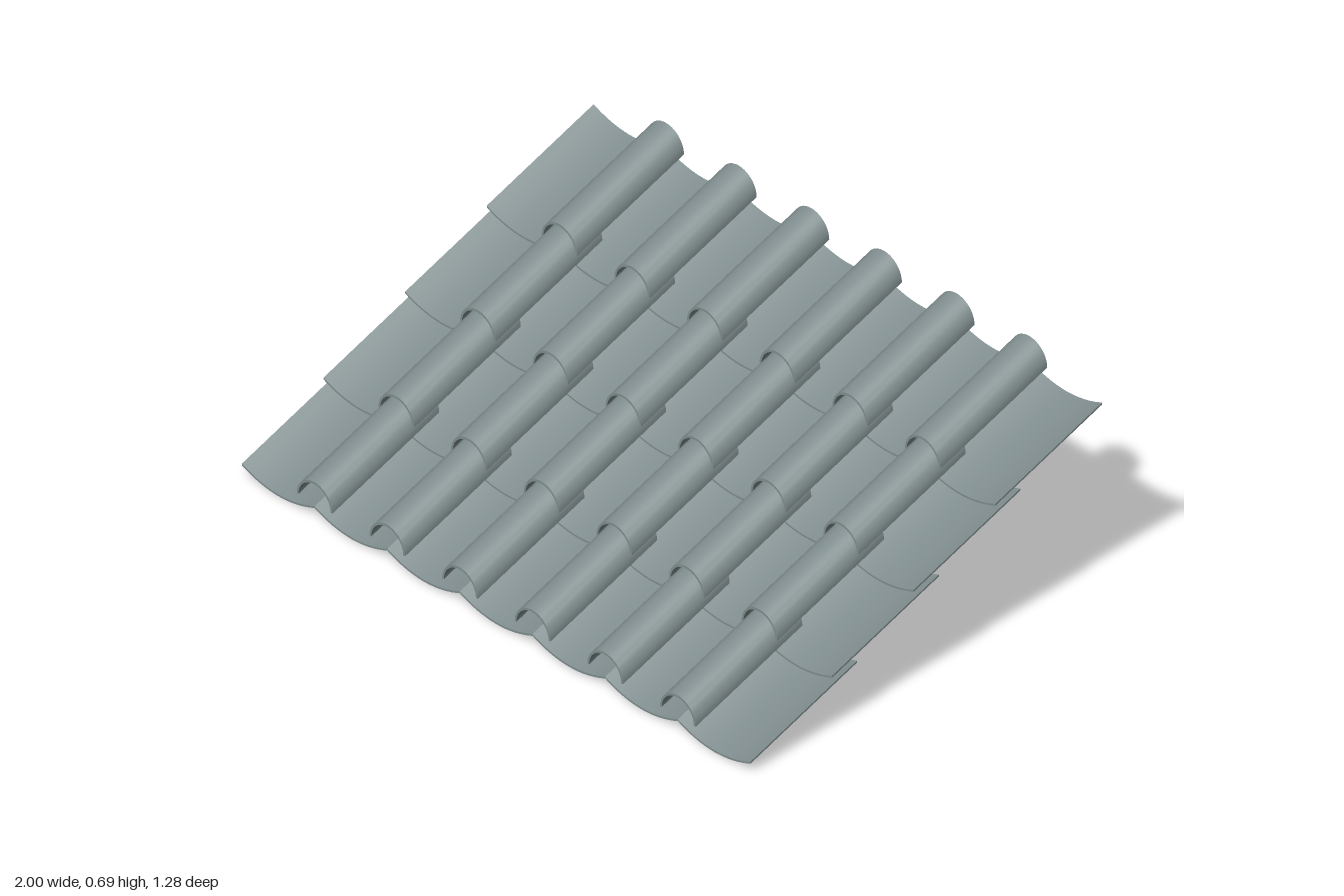
import * as THREE from 'three';
import { toCreasedNormals } from 'three/addons/utils/BufferGeometryUtils.js';

const COLUMNS = 7, ROWS = 4;
const PITCH = 2 / COLUMNS;      // width of one pan tile
const LENGTH = 0.388;           // tile length along z
const STEP_Z = 0.2965, STEP_Y = 0.1433; // offset from one course to the next
const FRONT = 0.638;
const SLOPE = 0.392;

// Thin curved shell: a lower and an upper outline, run back along -z and sheared up the slope
function shell(lower, upper, segments) {
  const points = [];
  for (let i = 0; i <= segments; i++) points.push(lower(i / segments));
  for (let i = segments; i >= 0; i--) points.push(upper(i / segments));
  const geometry = new THREE.ExtrudeGeometry(new THREE.Shape(points), {
    depth: LENGTH, bevelEnabled: false, steps: 1,
  });
  geometry.translate(0, 0, -LENGTH);
  geometry.applyMatrix4(new THREE.Matrix4().set(
    1, 0, 0, 0,
    0, 1, -SLOPE, 0,
    0, 0, 1, 0,
    0, 0, 0, 1));
  geometry.computeVertexNormals();
  return toCreasedNormals(geometry, 0.6);
}

// Shallow concave trough
function panGeometry() {
  const sag = 0.03, thickness = 0.006;
  const curve = (lift) => (t) => {
    const u = 2 * t - 1;
    return new THREE.Vector2(u * PITCH / 2, sag * u * u + lift);
  };
  return shell(curve(0), curve(thickness), 16);
}

// Half-round hollow cover
function capGeometry() {
  const arc = (rx, ry) => (t) => {
    const a = Math.PI * (1 - t);
    return new THREE.Vector2(Math.cos(a) * rx, 0.045 + Math.sin(a) * ry);
  };
  return shell(arc(0.063, 0.06), arc(0.07, 0.067), 20);
}

export function createModel() {
  const model = new THREE.Group();
  model.name = 'tiledRoof';
  const slate = new THREE.MeshStandardMaterial({ color: 0x7f8c8d });
  slate.name = 'slateGrey';

  const pan = panGeometry();
  const cap = capGeometry();

  for (let row = 0; row < ROWS; row++) {
    const course = new THREE.Group();
    course.name = `tileCourse${row + 1}`;
    course.position.set(0, row * STEP_Y, FRONT - row * STEP_Z);

    // Pans side by side, with a cap over each seam
    for (let i = 0; i < COLUMNS; i++) {
      const x = (i - (COLUMNS - 1) / 2) * PITCH;
      const panTile = new THREE.Mesh(pan, slate);
      panTile.name = 'panTile';
      panTile.position.x = x;
      course.add(panTile);
      if (i < COLUMNS - 1) {
        const capTile = new THREE.Mesh(cap, slate);
        capTile.name = 'capTile';
        capTile.position.x = x + PITCH / 2;
        course.add(capTile);
      }
    }
    model.add(course);
  }
  return model;
}
